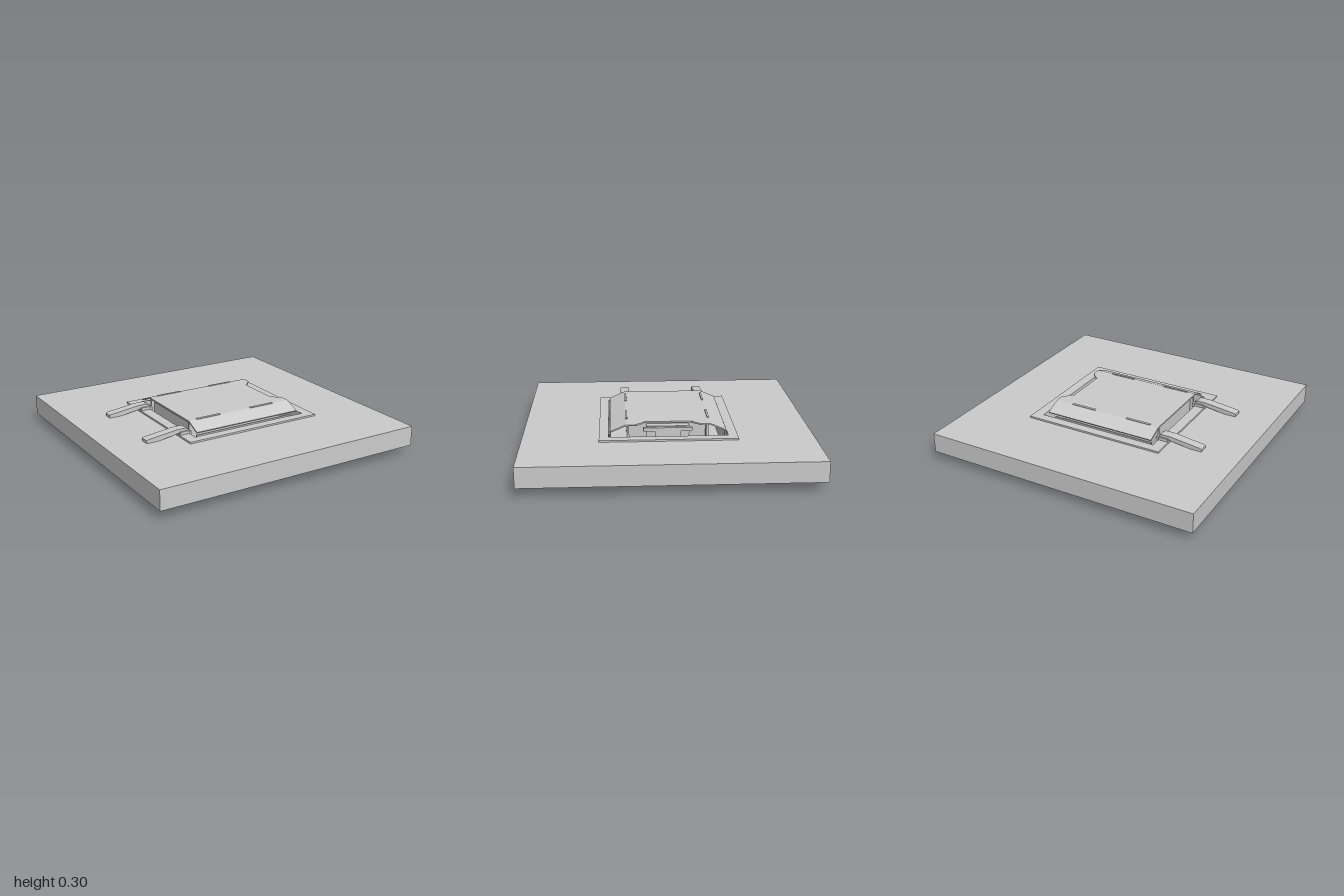
import * as THREE from 'three';

const material = new THREE.MeshStandardMaterial({ color: 0xcccccc, flatShading: true, side: THREE.DoubleSide });

function add(parent, name, geometry) {
  const mesh = new THREE.Mesh(geometry, material);
  mesh.name = name;
  parent.add(mesh);
  return mesh;
}

// box given by its limits
function block(parent, name, x0, x1, y0, y1, z0, z1) {
  const mesh = add(parent, name, new THREE.BoxGeometry(x1 - x0, y1 - y0, z1 - z0));
  mesh.position.set((x0 + x1) / 2, (y0 + y1) / 2, (z0 + z1) / 2);
  return mesh;
}

const outline = (points) => points.map(([a, b]) => new THREE.Vector2(a, b));
const rect = (x0, x1, z0, z1) => [[x0, z0], [x1, z0], [x1, z1], [x0, z1]];

// horizontal plate from an (x, z) outline, with holes
function plate(parent, name, points, y0, y1, holes = []) {
  const flip = (p) => outline(p.map(([x, z]) => [x, -z]));
  const shape = new THREE.Shape(flip(points));
  holes.forEach((h) => shape.holes.push(new THREE.Path(flip(h))));
  const geometry = new THREE.ExtrudeGeometry(shape, { depth: y1 - y0, bevelEnabled: false });
  geometry.rotateX(-Math.PI / 2).translate(0, y0, 0);
  return add(parent, name, geometry);
}

// side profile in (x, y), extruded across z
function sideProfile(parent, name, points, z, width) {
  const geometry = new THREE.ExtrudeGeometry(new THREE.Shape(outline(points)), { depth: width, bevelEnabled: false });
  geometry.translate(0, 0, z - width / 2);
  return add(parent, name, geometry);
}

// cross profile in (z, y), extruded along x
function crossProfile(parent, name, points, x0, x1) {
  const shape = new THREE.Shape(outline(points.map(([z, y]) => [-z, y])));
  const geometry = new THREE.ExtrudeGeometry(shape, { depth: x1 - x0, bevelEnabled: false });
  geometry.rotateY(Math.PI / 2).translate(x0, 0, 0);
  return add(parent, name, geometry);
}

export function createModel() {
  const model = new THREE.Group();
  model.name = 'hatchPanel';
  const opening = rect(-0.41, 0.478, -0.41, 0.41);
  const rim = rect(-0.485, 0.55, -0.475, 0.475);

  // panel and the flanges round its opening
  plate(model, 'panel', rect(-1, 1, -1, 1), 0.063, 0.205, [opening]);
  plate(model, 'upperFlange', rim, 0.205, 0.217, [opening]);
  plate(model, 'lowerFlange', rim, 0.05, 0.063, [opening]);

  // hatch tray with narrow gaps along its free edge
  const hatch = new THREE.Group();
  hatch.name = 'hatch';
  model.add(hatch);
  plate(hatch, 'hatchFloor', rect(-0.405, 0.475, -0.405, 0.405), 0.048, 0.062, [
    [[0.45, -0.21], [0.47, -0.21], [0.47, -0.07], [0.455, -0.1]],
    [[0.455, 0.18], [0.472, 0.18], [0.472, 0.19], [0.46, 0.19]],
    [[0.462, 0.26], [0.472, 0.26], [0.472, 0.33], [0.45, 0.31]],
  ]);
  plate(hatch, 'undersidePad', rect(-0.4, 0.46, -0.21, 0.21), 0.038, 0.048);

  // ribs that carry the cover
  for (const side of [-1, 1]) {
    const z = side * 0.275;
    block(hatch, 'sideRib', -0.385, 0.38, 0.062, 0.28, z - 0.008, z + 0.008);
    block(hatch, 'trayWall', -0.395, 0.38, 0.062, 0.225, side * 0.4 - 0.005, side * 0.4 + 0.005);
  }
  block(hatch, 'endRib', 0.30, 0.312, 0.062, 0.265, -0.27, 0.27);
  block(hatch, 'hingeRib', -0.36, -0.348, 0.062, 0.255, -0.27, 0.27);
  for (const z of [-0.1, 0.1]) block(hatch, 'longRib', -0.36, 0.3, 0.062, 0.255, z - 0.006, z + 0.006);

  // notched cover with sloping skirts
  const cover = new THREE.Group();
  cover.name = 'cover';
  model.add(cover);
  plate(cover, 'coverTop', [[-0.39, -0.29], [0.44, -0.29], [0.44, -0.225], [0.395, -0.175], [0.375, -0.165],
    [0.375, 0.165], [0.395, 0.175], [0.44, 0.225], [0.44, 0.29], [-0.39, 0.29]], 0.28, 0.29);
  for (const s of [-1, 1]) {
    crossProfile(cover, 'coverSkirt', [[s * 0.29, 0.29], [s * 0.4, 0.243], [s * 0.397, 0.235], [s * 0.29, 0.28]], -0.39, 0.44);
    for (const x of [-0.23, 0.21]) {
      const strip = block(cover, 'coverStrip', x - 0.095, x + 0.095, 0.284, 0.295, s * 0.285 - 0.007, s * 0.285 + 0.007);
      strip.rotation.x = s * 0.2;
    }
  }

  // latch handle in the notch, with its tongue below
  const latch = new THREE.Group();
  latch.name = 'latch';
  model.add(latch);
  block(latch, 'handleHousing', 0.312, 0.37, 0.15, 0.255, -0.15, 0.15);
  block(latch, 'handleGrip', 0.37, 0.395, 0.225, 0.25, -0.17, 0.17);
  block(latch, 'latchBar', 0.375, 0.39, 0.062, 0.225, -0.09, 0.09);
  crossProfile(latch, 'latchTongue', [[-0.095, 0.04], [0.095, 0.04], [0.07, 0], [-0.07, 0]], 0.374, 0.39);

  // paired hinges, one strap above and one below
  for (const z of [-0.285, 0.285]) {
    const hinge = new THREE.Group();
    hinge.name = 'hinge';
    model.add(hinge);
    sideProfile(hinge, 'upperStrap', [[-0.73, 0.205], [-0.73, 0.225], [-0.72, 0.23], [-0.5, 0.257], [-0.43, 0.257],
      [-0.41, 0.248], [-0.405, 0.215], [-0.425, 0.215], [-0.43, 0.23], [-0.46, 0.235], [-0.52, 0.222], [-0.64, 0.205]], z, 0.066);
    sideProfile(hinge, 'lowerStrap', [[-0.73, 0.063], [-0.73, 0.046], [-0.72, 0.042], [-0.48, 0.013], [-0.43, 0.01],
      [-0.25, 0.028], [-0.25, 0.04], [-0.4, 0.05], [-0.41, 0.063]], z, 0.06);
    block(hinge, 'upperHingeBase', -0.48, -0.41, 0.217, 0.238, z - 0.045, z + 0.045);
    block(hinge, 'lowerHingeBase', -0.48, -0.4, 0.028, 0.05, z - 0.042, z + 0.042);
    const pin = add(hinge, 'hingePin', new THREE.CylinderGeometry(0.012, 0.012, 0.086, 12));
    pin.rotation.x = Math.PI / 2;
    pin.position.set(-0.44, 0.022, z);
    block(hinge, 'hingeLink', -0.425, -0.385, 0.2, 0.225, z - 0.03, z + 0.03);
  }
  return model;
}
